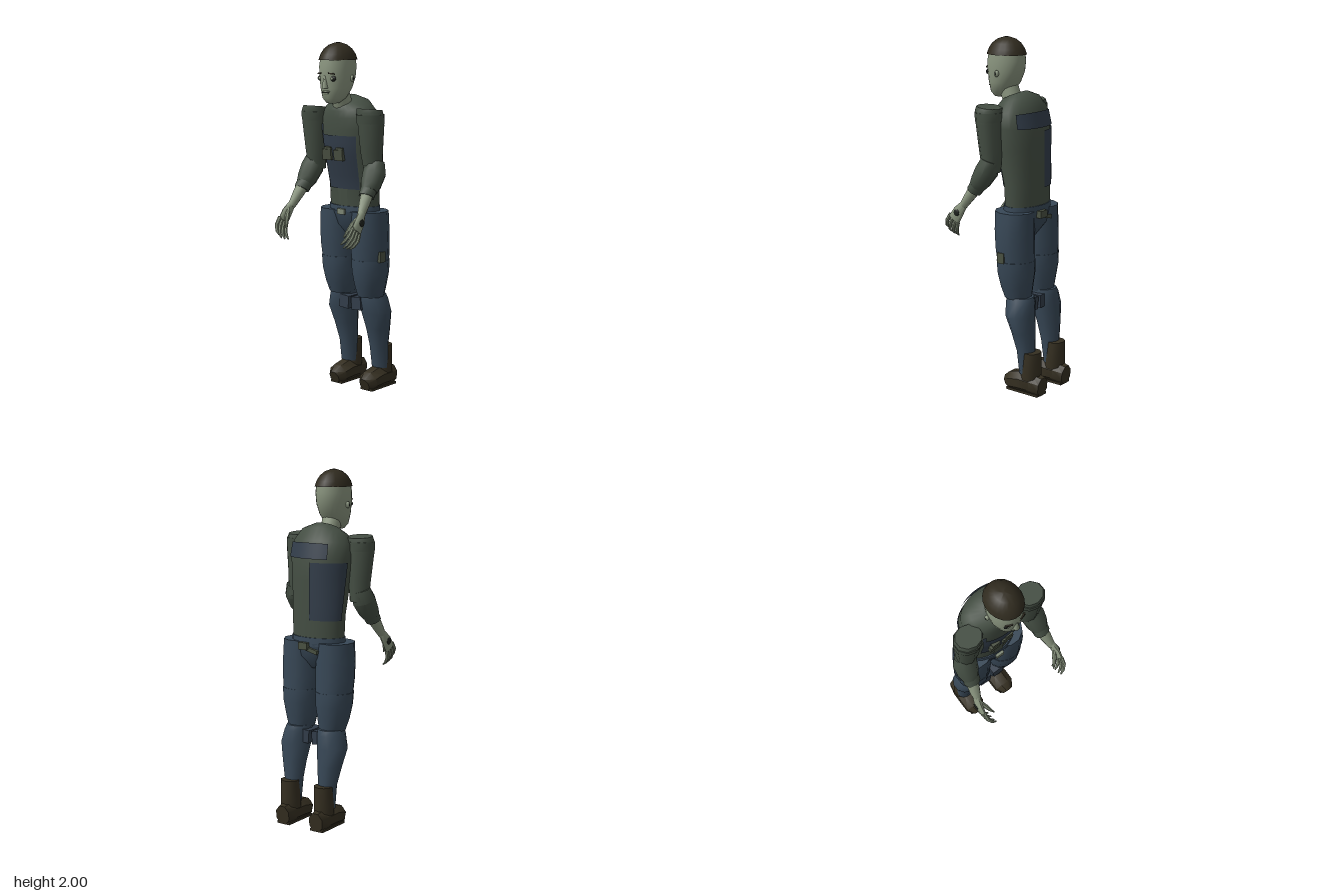
import * as THREE from 'three';
import { mergeVertices, toCreasedNormals } from 'three/addons/utils/BufferGeometryUtils.js';

const mat = (name, color) => new THREE.MeshStandardMaterial({ name, color });
const M = {
  skin: mat('skin', 0x8a957f), shirt: mat('shirt', 0x444e43), pants: mat('trousers', 0x384857),
  vest: mat('vest', 0x323d4a), hair: mat('hair', 0x302b1f), boot: mat('boots', 0x352f21),
  pouch: mat('pouch', 0x4a5142), dark: mat('dark', 0x1d211d), metal: mat('buckle', 0x7d8674),
};
M.vest.side = THREE.DoubleSide;

export function createModel() {
  const root = new THREE.Group();
  root.name = 'figure';

  const add = (name, geo, material) => {
    const m = new THREE.Mesh(geo, material);
    m.name = name;
    root.add(m);
    return m;
  };
  const build = (pos, idx, crease) => {
    const g = new THREE.BufferGeometry();
    g.setAttribute('position', new THREE.Float32BufferAttribute(pos, 3));
    g.setIndex(idx);
    return toCreasedNormals(mergeVertices(g), crease);
  };

  // Closed skin over rings [x, y, z, radiusX, radiusOther, tilt]; flat keeps rings level
  const loft = (rings, n = 10, flat = false, crease = 0.75) => {
    const pos = [], idx = [], c = rings.map(r => new THREE.Vector3(r[0], r[1], r[2]));
    rings.forEach((r, j) => {
      const t = flat ? new THREE.Vector3(0, 1, 0)
        : c[Math.min(j + 1, c.length - 1)].clone().sub(c[Math.max(j - 1, 0)]).normalize();
      const u = new THREE.Vector3(1, 0, 0).addScaledVector(t, -t.x).normalize();
      const v = t.clone().cross(u);
      for (let i = 0; i < n; i++) {
        const a = (i + 0.5) / n * Math.PI * 2;
        const p = c[j].clone().addScaledVector(u, r[3] * Math.cos(a)).addScaledVector(v, r[4] * Math.sin(a));
        pos.push(p.x, p.y + (r[5] || 0) * (p.z - r[2]), p.z);
      }
    });
    const last = rings.length - 1, k = pos.length / 3;
    for (let j = 0; j < last; j++) for (let i = 0; i < n; i++) {
      const a = j * n + i, b = j * n + (i + 1) % n;
      idx.push(a, b, b + n, a, b + n, a + n);
    }
    pos.push(...c[0].toArray(), ...c[last].toArray());
    for (let i = 0; i < n; i++) {
      const b = (i + 1) % n;
      idx.push(k, b, i, k + 1, last * n + i, last * n + b);
    }
    return build(pos, idx, crease);
  };
  const box = (name, material, w, h, d, x, y, z, rx = 0, rz = 0) => {
    const m = add(name, new THREE.BoxGeometry(w, h, d), material);
    m.position.set(x, y, z);
    m.rotation.set(rx, 0, rz);
    return m;
  };
  const ball = (name, material, r, x, y, z, sx = 1, sy = 1, sz = 1) => {
    const m = add(name, new THREE.SphereGeometry(r, 12, 8), material);
    m.position.set(x, y, z);
    m.scale.set(sx, sy, sz);
    return m;
  };

  // Torso
  const torso = [
    [0, 1.04, -0.1, 0.16, 0.1], [0, 1.2, -0.097, 0.165, 0.105], [0, 1.4, -0.072, 0.178, 0.128],
    [0, 1.52, -0.066, 0.19, 0.132], [0, 1.6, -0.055, 0.182, 0.12, -0.15],
    [0, 1.655, -0.035, 0.14, 0.098, -0.35], [0, 1.68, -0.012, 0.075, 0.068, -0.45],
  ];
  add('shirt', loft(torso, 28, true, 1), M.shirt);

  // Point just outside the torso; angle 0 is the front, positive toward +x
  const onTorso = (th, y, off) => {
    let j = 0;
    while (j < torso.length - 2 && torso[j + 1][1] < y) j++;
    const A = torso[j], B = torso[j + 1], f = (y - A[1]) / (B[1] - A[1]);
    const [, , z, rx, rz, tilt] = [0, 1, 2, 3, 4, 5].map(i => (A[i] || 0) * (1 - f) + (B[i] || 0) * f);
    const dz = (rz + off) * Math.cos(th);
    return [(rx + off) * Math.sin(th), y + tilt * dz, z + dz];
  };
  const patch = (name, material, t0, t1, y0, y1, off = 0.006) => {
    const pos = [], idx = [], n = 14, m = 8;
    for (let j = 0; j <= m; j++) for (let i = 0; i <= n; i++)
      pos.push(...onTorso(t0 + (t1 - t0) * i / n, y0 + (y1 - y0) * j / m, off));
    for (let j = 0; j < m; j++) for (let i = 0; i < n; i++) {
      const a = j * (n + 1) + i, b = a + n + 1;
      idx.push(a, a + 1, b + 1, a, b + 1, b);
    }
    add(name, build(pos, idx, 1), material);
  };
  patch('chestPanel', M.vest, -0.7, 0.7, 1.18, 1.485);
  patch('chestStrap', M.vest, -0.72, -0.6, 1.48, 1.55);
  patch('backPanel', M.vest, -3.08, -1.75, 1.18, 1.5);
  patch('shoulderStrap', M.vest, 2.2, 3.75, 1.52, 1.59, 0.008);
  patch('shirtPlacket', M.shirt, -0.2, 0.2, 1.06, 1.18, 0.004);
  for (const x of [-0.068, 0.018]) {
    box('chestPocket', M.pouch, 0.064, 0.06, 0.022, x, 1.375, 0.058, 0.12);
    box('pocketFlap', M.pouch, 0.05, 0.018, 0.026, x + 0.008, 1.41, 0.056, 0.12);
  }

  // Belt and hips
  add('belt', loft([[0, 1.035, -0.098, 0.168, 0.11], [0, 1.082, -0.098, 0.165, 0.108]], 24, true), M.pants);
  add('hips', loft([[0, 0.9, -0.1, 0.04, 0.05], [0, 0.97, -0.1, 0.13, 0.1], [0, 1.05, -0.096, 0.19, 0.112]], 16, true), M.pants);
  box('buckle', M.metal, 0.05, 0.032, 0.016, 0, 1.05, 0.018);
  box('backPouch', M.pouch, 0.06, 0.04, 0.03, 0.02, 1.035, -0.215);
  box('backPouchFlap', M.pouch, 0.1, 0.022, 0.02, -0.02, 1.015, -0.208, 0, 0.25);
  box('thighPouch', M.pouch, 0.028, 0.06, 0.045, 0.213, 0.8, -0.08);

  // Neck and head
  add('neck', loft([[0, 1.61, -0.01, 0.056, 0.055], [0, 1.74, 0.04, 0.055, 0.055]], 14), M.skin);
  add('head', loft([
    [0, 1.668, 0.09, 0.035, 0.035], [0, 1.695, 0.077, 0.065, 0.066], [0, 1.75, 0.06, 0.085, 0.092],
    [0, 1.81, 0.05, 0.094, 0.109], [0, 1.87, 0.047, 0.097, 0.113], [0, 1.93, 0.046, 0.09, 0.105],
  ], 24, true, 1.1), M.skin);
  add('hair', loft([
    [0, 1.905, 0.046, 0.1, 0.118], [0, 1.935, 0.046, 0.091, 0.107], [0, 1.965, 0.046, 0.073, 0.086],
    [0, 1.988, 0.046, 0.045, 0.055], [0, 2, 0.046, 0.012, 0.015],
  ], 20, true, 0.9), M.hair);
  add('nose', loft([[0, 1.752, 0.152, 0.02, 0.022], [0, 1.77, 0.152, 0.016, 0.02], [0, 1.82, 0.15, 0.008, 0.012]], 8, true, 1), M.skin);
  ball('upperLip', M.skin, 0.025, 0, 1.733, 0.145, 1.1, 0.3, 0.5);
  ball('lowerLip', M.skin, 0.022, 0, 1.72, 0.138, 1.1, 0.35, 0.5);
  box('mouth', M.dark, 0.046, 0.004, 0.008, 0, 1.727, 0.153);
  for (const s of [-1, 1]) {
    ball('eyeSocket', M.dark, 0.021, s * 0.044, 1.805, 0.139, 1.1, 0.75, 0.5);
    ball('eye', M.skin, 0.009, s * 0.044, 1.805, 0.147, 1, 0.8, 0.6);
    box('eyebrow', M.hair, 0.04, 0.007, 0.008, s * 0.044, 1.832, 0.15, 0, -s * 0.1).rotation.y = s * 0.45;
    ball('ear', M.skin, 0.019, s * 0.1, 1.805, 0.04, 0.6, 1, 0.7);
    ball('earHole', M.dark, 0.008, s * 0.108, 1.805, 0.042, 0.6, 1.3, 0.8);
  }

  // Arms and legs, mirrored
  for (const s of [-1, 1]) {
    const limb = (name, material, rings, n, flat) =>
      add(name, loft(rings.map(([x, ...r]) => [s * x, ...r]), n, flat), material);

    limb('upperSleeve', M.shirt, [
      [0.212, 1.28, -0.01, 0.055, 0.05], [0.207, 1.4, 0, 0.066, 0.062], [0.208, 1.55, 0.008, 0.08, 0.071],
      [0.204, 1.615, 0.012, 0.08, 0.074, 0.1], [0.2, 1.638, 0.012, 0.075, 0.07, 0.1]], 10, true);
    limb('shoulderSeam', M.shirt, [
      [0.206, 1.56, 0.009, 0.083, 0.075], [0.204, 1.61, 0.012, 0.084, 0.078]], 10, true);
    limb('lowerSleeve', M.shirt, [
      [0.222, 1.345, -0.01, 0.058, 0.05], [0.232, 1.285, 0.008, 0.069, 0.064],
      [0.238, 1.225, 0.045, 0.062, 0.056], [0.242, 1.195, 0.066, 0.05, 0.046]], 10);
    limb('cuff', M.shirt, [[0.238, 1.215, 0.055, 0.05, 0.046], [0.243, 1.165, 0.088, 0.047, 0.042]], 10);
    limb('forearm', M.skin, [
      [0.242, 1.185, 0.078, 0.038, 0.036], [0.252, 1.13, 0.115, 0.032, 0.03], [0.262, 1.07, 0.155, 0.022, 0.022]], 10);
    limb('palm', M.skin, [
      [0.262, 1.085, 0.147, 0.02, 0.022], [0.272, 1.04, 0.178, 0.021, 0.036], [0.274, 0.99, 0.21, 0.016, 0.04]], 10);
    ball('wristDisc', M.dark, 0.02, s * 0.291, 1.035, 0.18, 0.3, 1, 1);

    // Fingers fan out from the knuckles and curl inward
    for (let i = 0; i < 4; i++) {
      const f = i - 1.5, len = 1 - 0.08 * Math.abs(f - 0.3);
      const y = 0.995 + f * 0.014, z = 0.21 + f * 0.018;
      limb('finger', M.skin, [
        [0.274, y, z, 0.011, 0.011], [0.272, y - 0.045 * len, z + (0.022 + f * 0.006) * len, 0.011, 0.011],
        [0.254, y - 0.08 * len, z + (0.038 + f * 0.008) * len, 0.009, 0.009],
        [0.232, y - 0.1 * len, z + (0.046 + f * 0.008) * len, 0.004, 0.004]], 7);
    }
    limb('thumb', M.skin, [
      [0.262, 1.06, 0.178, 0.013, 0.013], [0.242, 1.02, 0.21, 0.013, 0.013],
      [0.228, 0.985, 0.23, 0.01, 0.01], [0.214, 0.955, 0.245, 0.004, 0.004]], 7);

    limb('thigh', M.pants, [
      [0.112, 0.73, -0.108, 0.104, 0.106], [0.114, 0.85, -0.1, 0.112, 0.112],
      [0.114, 0.95, -0.096, 0.112, 0.114], [0.112, 1.055, -0.095, 0.106, 0.114]], 12, true);
    limb('trouserKnee', M.pants, [
      [0.107, 0.555, -0.117, 0.076, 0.078], [0.11, 0.62, -0.11, 0.092, 0.093],
      [0.112, 0.7, -0.107, 0.106, 0.108], [0.113, 0.775, -0.105, 0.111, 0.11]], 12, true);
    limb('shin', M.pants, [
      [0.118, 0.12, -0.19, 0.053, 0.042], [0.117, 0.25, -0.18, 0.056, 0.052], [0.122, 0.36, -0.165, 0.074, 0.066],
      [0.125, 0.46, -0.145, 0.092, 0.082], [0.113, 0.535, -0.137, 0.08, 0.086], [0.108, 0.565, -0.133, 0.072, 0.08]], 12, true);
    box('kneeBand', M.vest, 0.07, 0.075, 0.13, s * 0.046, 0.508, -0.12, 0, s * 0.08);

    limb('bootShaft', M.boot, [
      [0.116, 0.06, -0.212, 0.06, 0.06], [0.116, 0.14, -0.215, 0.06, 0.058], [0.116, 0.25, -0.222, 0.054, 0.05]], 10, true);
    limb('bootFoot', M.boot, [
      [0.116, 0.054, -0.295, 0.048, 0.0585], [0.116, 0.06, -0.235, 0.063, 0.065], [0.116, 0.062, -0.16, 0.066, 0.067],
      [0.116, 0.053, -0.09, 0.066, 0.0575], [0.116, 0.037, -0.05, 0.036, 0.04]], 8);
    box('sole', M.boot, 0.085, 0.014, 0.22, s * 0.116, 0.007, -0.178);
  }
  return root;
}
